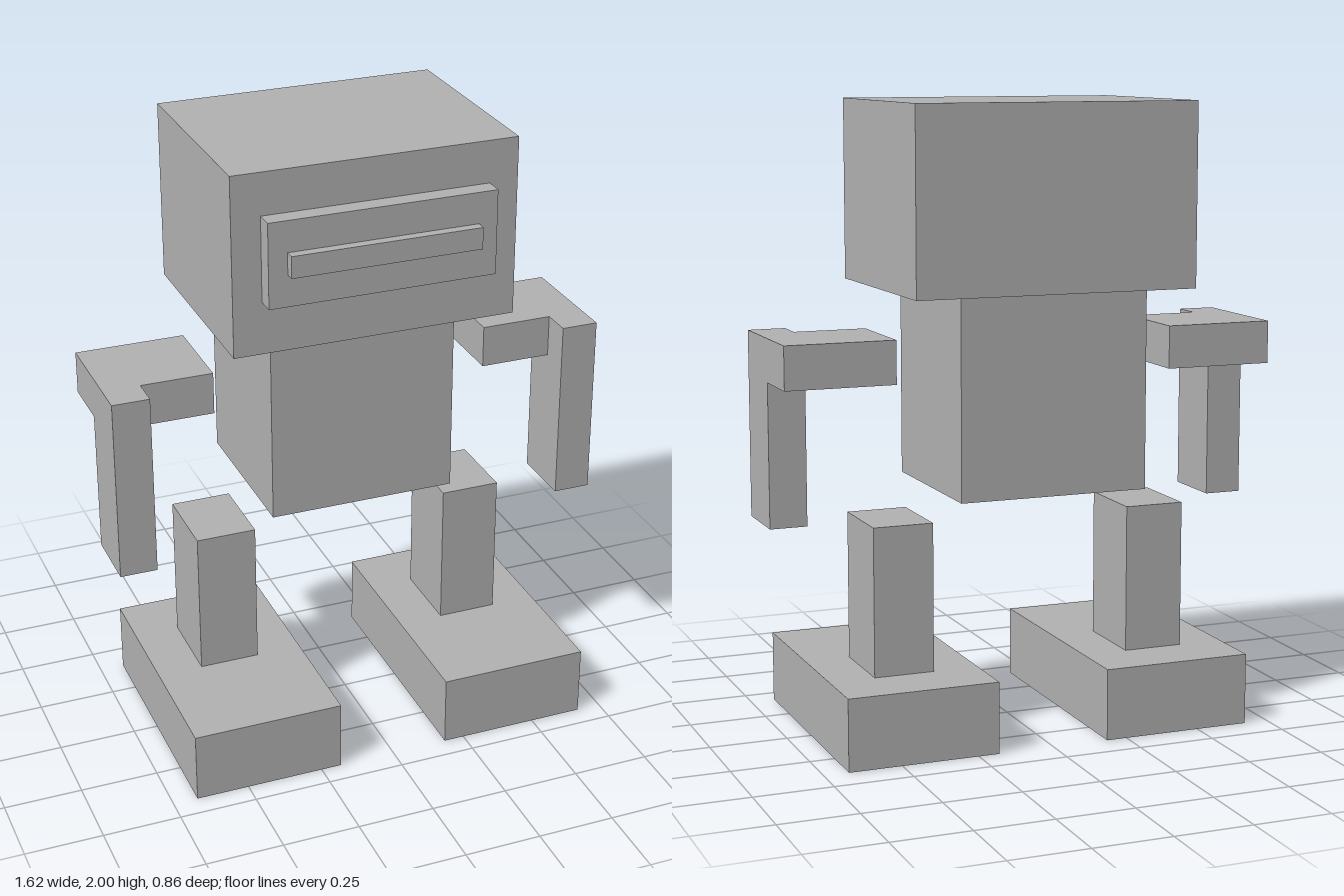
import * as THREE from 'three';

export function createModel() {
  const model = new THREE.Group();
  model.name = 'blockRobot';
  const grey = new THREE.MeshStandardMaterial({ color: 0xb2b2b2 });
  grey.name = 'grey';

  // Box given by its lower and upper limits on each axis
  function box(name, [x0, x1], [y0, y1], [z0, z1]) {
    const mesh = new THREE.Mesh(new THREE.BoxGeometry(x1 - x0, y1 - y0, z1 - z0), grey);
    mesh.position.set((x0 + x1) / 2, (y0 + y1) / 2, (z0 + z1) / 2);
    mesh.name = name;
    model.add(mesh);
  }

  // Limits mirrored to the given side
  const sided = (s, a, b) => (s > 0 ? [a, b] : [-b, -a]);

  // Head with stepped face plate
  box('head', [-0.457, 0.457], [1.425, 2], [-0.428, 0.258]);
  box('facePlate', [-0.365, 0.365], [1.593, 1.865], [0.258, 0.318]);
  box('visorBar', [-0.305, 0.305], [1.695, 1.765], [0.318, 0.35]);

  // Torso
  box('torso', [-0.305, 0.305], [0.8, 1.425], [-0.395, 0.155]);

  // Outer arm: side profile of shoulder end and hanging forearm
  const armProfile = new THREE.Shape([
    [0.155, 0.693], [0.155, 1.287], [-0.245, 1.287],
    [-0.245, 1.15], [-0.06, 1.15], [-0.06, 0.693],
  ].map(([z, y]) => new THREE.Vector2(-z, y)));
  const armGeometry = new THREE.ExtrudeGeometry(armProfile, { depth: 0.12, bevelEnabled: false });
  armGeometry.rotateY(Math.PI / 2); // profile into the side plane, depth along +x

  for (const s of [1, -1]) {
    const side = s > 0 ? 'left' : 'right';
    const arm = new THREE.Mesh(armGeometry, grey);
    arm.name = side + 'Forearm';
    arm.position.x = s > 0 ? 0.69 : -0.81;
    model.add(arm);
    box(side + 'Shoulder', sided(s, 0.457, 0.69), [1.15, 1.287], [-0.245, 0.055]);
    box(side + 'Leg', sided(s, 0.33, 0.525), [0.23, 0.705], [-0.21, 0.05]);
    box(side + 'Foot', sided(s, 0.183, 0.671), [0, 0.23], [-0.395, 0.428]);
  }
  return model;
}
